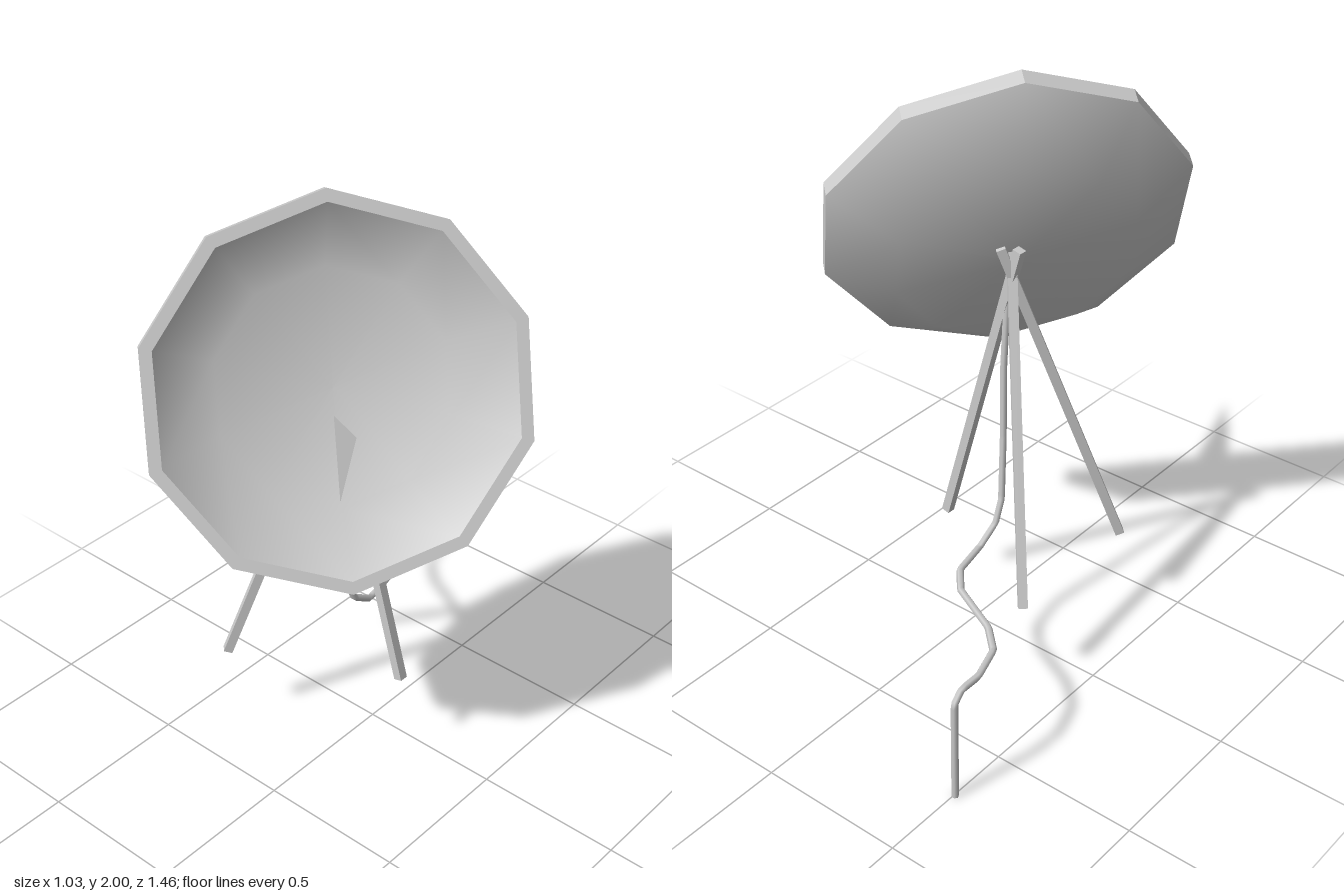
import * as THREE from 'three';

const V = (x, y, z) => new THREE.Vector3(x, y, z);

export function createModel() {
  const model = new THREE.Group();
  model.name = 'satelliteDish';
  const smooth = new THREE.MeshStandardMaterial({ color: 0xcccccc });
  const flat = new THREE.MeshStandardMaterial({ color: 0xcccccc, flatShading: true });
  const thin = new THREE.MeshStandardMaterial({ color: 0xcccccc, side: THREE.DoubleSide });

  const add = (parent, name, geometry, material) => {
    const mesh = new THREE.Mesh(geometry, material);
    mesh.name = name;
    parent.add(mesh);
    return mesh;
  };

  // Dish: ten-sided, its axis (local y) turned to the side and tilted up
  const azimuth = THREE.MathUtils.degToRad(50);
  const tilt = THREE.MathUtils.degToRad(22.8);
  const axis = V(Math.sin(azimuth) * Math.cos(tilt), Math.sin(tilt), Math.cos(azimuth) * Math.cos(tilt));
  const up = V(0, 1, 0).addScaledVector(axis, -axis.y).normalize();
  const dish = new THREE.Group();
  dish.name = 'dish';
  dish.quaternion.setFromRotationMatrix(
    new THREE.Matrix4().makeBasis(V().crossVectors(axis, up), axis, up));
  dish.position.set(0.085, 1.443, 0.245);
  model.add(dish);

  const ring = (name, profile, material) =>
    add(dish, name, new THREE.LatheGeometry(profile.map(([r, y]) => new THREE.Vector2(r, y)), 10), material);
  ring('dishBack', [[0, -0.22], [0.39, -0.21], [0.605, -0.055]], smooth);
  ring('dishRim', [[0.605, -0.055], [0.605, 0], [0.565, 0]], flat);
  ring('dishBowl', [[0.565, 0], [0.37, -0.16], [0, -0.168]], smooth);

  // Receiver fin: one upright triangle standing in the bowl
  const fin = new THREE.BufferGeometry().setFromPoints(
    [V(0.34, 1.51, 0.465), V(-0.01, 1.3, 0.17), V(0.08, 1.06, 0.245)]);
  fin.computeVertexNormals();
  add(model, 'receiverFin', fin, thin);

  // Tripod: square legs crossing just behind the bowl
  const crossing = V(-0.08, 1.32, 0.08);
  for (const [x, z] of [[0.19, 0.08], [-0.345, 0.345], [-0.345, -0.185]]) {
    const foot = V(x, 0.32, z);
    const top = foot.clone().lerp(crossing, 1.1);
    const leg = add(model, 'tripodLeg', new THREE.BoxGeometry(0.03, 0.03, foot.distanceTo(top)), flat);
    leg.position.copy(foot).lerp(top, 0.5);
    leg.lookAt(top);
  }

  // Cable: drops from the dish, snakes backwards and hangs down
  const path = new THREE.CatmullRomCurve3([
    V(-0.06, 1.3, 0.085), V(-0.065, 1.0, 0.06), V(-0.08, 0.75, 0.042), V(-0.1, 0.53, 0.01),
    V(-0.1, 0.45, -0.02), V(-0.1, 0.4, -0.1), V(-0.13, 0.4, -0.24), V(-0.2, 0.4, -0.32),
    V(-0.385, 0.4, -0.41), V(-0.465, 0.4, -0.485), V(-0.505, 0.4, -0.605), V(-0.505, 0.4, -0.685),
    V(-0.505, 0.365, -0.717), V(-0.505, 0, -0.717),
  ], false, 'catmullrom', 0);
  add(model, 'cable', new THREE.TubeGeometry(path, 110, 0.012, 6), thin);

  return model;
}
